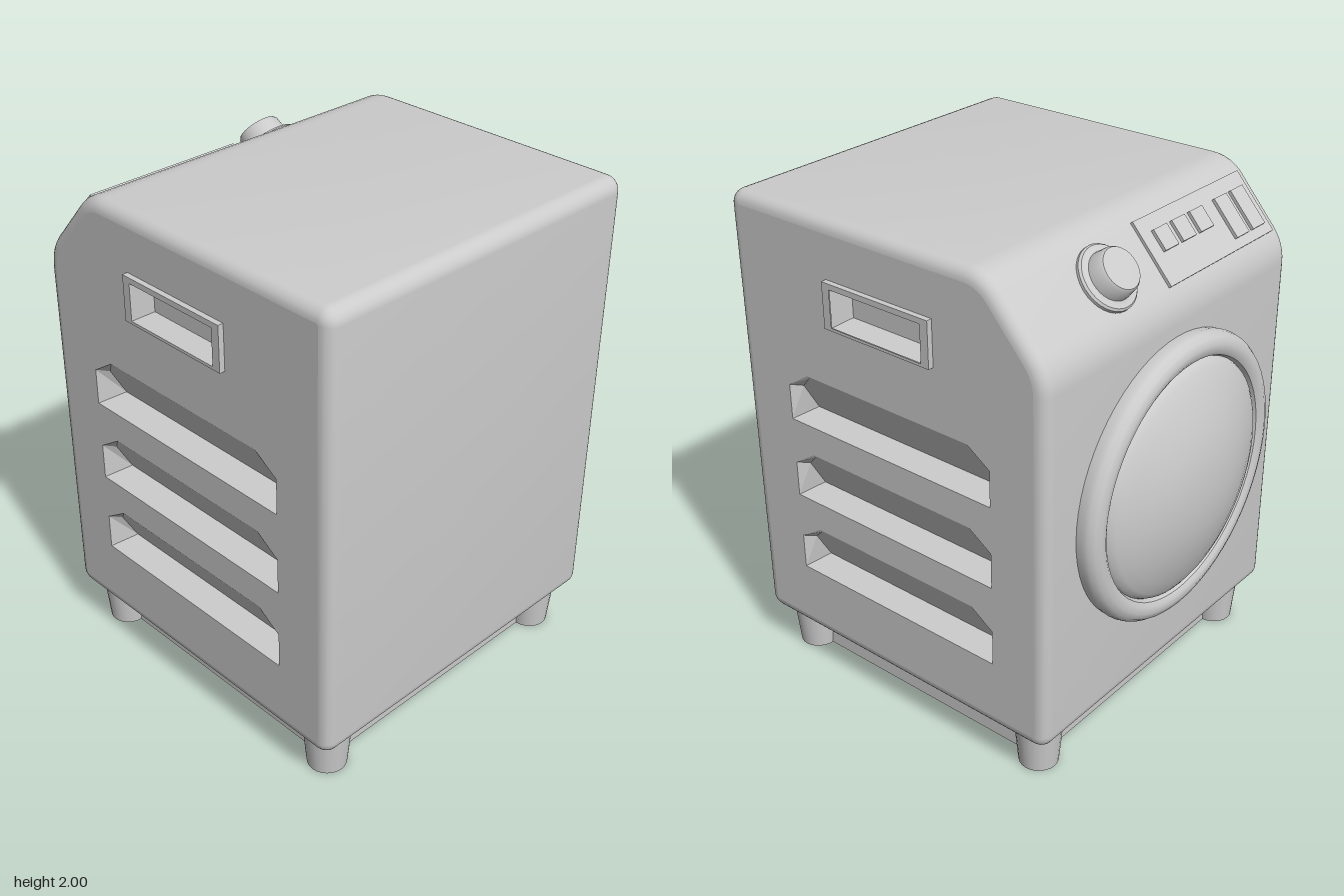
import * as THREE from 'three';
import { toCreasedNormals } from 'three/addons/utils/BufferGeometryUtils.js';

const mat = new THREE.MeshStandardMaterial({ color: 0xcccccc });
const thin = new THREE.MeshStandardMaterial({ color: 0xcccccc, side: THREE.DoubleSide });

function add(parent, name, geometry, material = mat, x = 0, y = 0, z = 0) {
  const mesh = new THREE.Mesh(geometry, material);
  mesh.name = name;
  mesh.position.set(x, y, z);
  parent.add(mesh);
  return mesh;
}

// Polygon with softened corners; corners are [x, y, cut]
function softPolygon(corners) {
  const shape = new THREE.Shape();
  const n = corners.length;
  corners.forEach(([x, y, cut], i) => {
    const p = new THREE.Vector2(x, y);
    const toward = ([ox, oy]) => new THREE.Vector2(ox, oy).sub(p).setLength(cut).add(p);
    const a = toward(corners[(i + n - 1) % n]);
    const b = toward(corners[(i + 1) % n]);
    if (i === 0) shape.moveTo(a.x, a.y);
    else shape.lineTo(a.x, a.y);
    shape.quadraticCurveTo(x, y, b.x, b.y);
  });
  shape.closePath();
  return shape;
}

const polygon = (pts, Type = THREE.Path) => new Type(pts.map(([x, y]) => new THREE.Vector2(x, y)));
const rect = (x0, y0, x1, y1) => [[x0, y0], [x1, y0], [x1, y1], [x0, y1]];

// Recess: walls from the rim to an inner loop, closed by a floor
function recess(rim, inner, rimZ, floorZ) {
  const pos = [];
  const n = rim.length;
  const R = rim.map(([x, y]) => [x, y, rimZ]);
  const I = inner.map(([x, y]) => [x, y, floorZ(y)]);
  for (let i = 0; i < n; i++) {
    const j = (i + 1) % n;
    pos.push(...R[i], ...R[j], ...I[j], ...R[i], ...I[j], ...I[i]);
    if (i > 0 && i < n - 1) pos.push(...I[0], ...I[i], ...I[i + 1]);
  }
  const g = new THREE.BufferGeometry();
  g.setAttribute('position', new THREE.Float32BufferAttribute(pos, 3));
  g.computeVertexNormals();
  return g;
}

// Side outline of the cabinet, inside its rounded edge; s = -1 mirrors it
const outline = (s) => softPolygon([
  [-0.59, 0.23, 0.01], [0.77, 0.23, 0.01], [0.77, 1.95, 0.01],
  [-0.36, 1.95, 0.06], [-0.59, 1.69, 0.06],
].map(([x, y, c]) => [s * x, y, c]));

// Side wall with three louvres and a recessed handle
function sideWall(s) {
  const group = new THREE.Group();
  group.name = s > 0 ? 'frontSideWall' : 'rearSideWall';
  const flip = (pts) => pts.map(([x, y]) => [s * x, y]);
  const wall = outline(s);
  const z = 0.73;

  for (const y0 of [1.145, 0.81, 0.475]) {
    const y1 = y0 + 0.212;
    const rim = flip([[-0.4, y0], [0.575, y0], [0.575, y0 + 0.145],
      [0.475, y1], [-0.3, y1], [-0.4, y0 + 0.145]]);
    const inner = flip([[-0.375, y0 + 0.012], [0.55, y0 + 0.012], [0.55, y0 + 0.13],
      [0.47, y1 - 0.01], [-0.295, y1 - 0.01], [-0.375, y0 + 0.13]]);
    wall.holes.push(polygon(rim));
    // The floor slopes inward from the top edge to a ledge at the bottom
    add(group, 'louvre', recess(rim, inner, z, (y) => z - 0.12 * (y1 - y) / (y1 - y0)), thin);
  }

  const mouth = flip(rect(-0.125, 1.612, 0.3, 1.758));
  wall.holes.push(polygon(mouth));
  const frame = polygon(flip(rect(-0.16, 1.6, 0.335, 1.78)), THREE.Shape);
  frame.holes.push(polygon(mouth));
  add(group, 'handleFrame', new THREE.ExtrudeGeometry(frame, { depth: 0.022, bevelEnabled: false }), mat, 0, 0, z);
  add(group, 'handleRecess',
    recess(mouth, flip(rect(-0.085, 1.638, 0.262, 1.735)), z + 0.02, () => z - 0.05), thin);

  add(group, 'sidePanel', new THREE.ShapeGeometry(wall, 6), mat, 0, 0, z);
  if (s < 0) group.rotation.y = Math.PI;
  return group;
}

// Cabinet wrap: rounded extrusion without its flat ends
function cabinetWrap() {
  const full = new THREE.ExtrudeGeometry(outline(1), {
    depth: 1.36, bevelThickness: 0.05, bevelSize: 0.05, bevelSegments: 6, curveSegments: 6,
  });
  const { start, count } = full.groups[1];
  const g = new THREE.BufferGeometry();
  g.setAttribute('position', new THREE.BufferAttribute(
    full.attributes.position.array.slice(start * 3, (start + count) * 3), 3));
  g.translate(0, 0, -0.68);
  return toCreasedNormals(g, 0.7);
}

const lathe = (pts, segments) =>
  toCreasedNormals(new THREE.LatheGeometry(pts.map(([r, h]) => new THREE.Vector2(r, h)), segments), 0.6);

export function createModel() {
  const model = new THREE.Group();
  model.name = 'washingMachine';

  add(model, 'cabinet', cabinetWrap());
  model.add(sideWall(1), sideWall(-1));

  // Round door with raised rim and domed glass
  const door = add(model, 'door', lathe([
    [0.56, -0.01], [0.565, 0.03], [0.56, 0.05], [0.545, 0.07], [0.52, 0.08], [0.495, 0.078],
    [0.478, 0.068], [0.47, 0.05], [0.462, 0.065], [0.44, 0.08], [0.39, 0.103], [0.32, 0.13],
    [0.24, 0.154], [0.16, 0.171], [0.08, 0.179], [0, 0.181],
  ], 64), mat, -0.64, 1.025, 0);
  door.rotation.z = Math.PI / 2;

  // Tapered feet joined by a thin plinth
  const [x0, x1, zf] = [-0.505, 0.685, 0.595];
  for (const x of [x0, x1]) {
    for (const z of [-zf, zf]) {
      add(model, 'foot', new THREE.CylinderGeometry(0.095, 0.077, 0.2, 24, 1, true), thin, x, 0.1, z);
    }
    const end = add(model, 'plinthEnd', new THREE.PlaneGeometry(2 * zf, 0.18), thin, x, 0.09, 0);
    end.rotation.y = Math.sign(x) * Math.PI / 2;
  }
  for (const s of [-1, 1]) {
    const side = add(model, 'plinthSide', new THREE.PlaneGeometry(x1 - x0, 0.18), thin, (x0 + x1) / 2, 0.09, s * zf);
    if (s < 0) side.rotation.y = Math.PI;
  }

  // Controls on the sloped face: local x runs up the slope, y points outward
  const controls = new THREE.Group();
  controls.name = 'controls';
  controls.position.set(-0.51, 1.855, 0);
  controls.rotation.z = Math.atan2(0.29, 0.26);
  model.add(controls);

  add(controls, 'dial', lathe([
    [0.125, -0.01], [0.125, 0.012], [0.118, 0.02], [0.1, 0.02], [0.092, 0.024],
    [0.085, 0.075], [0.078, 0.085], [0, 0.087],
  ], 32), mat, 0, 0, -0.25);

  add(controls, 'controlPanel', new THREE.BoxGeometry(0.26, 0.024, 0.665), mat, 0, 0, 0.333);
  for (const z of [0.1, 0.21, 0.32]) {
    add(controls, 'smallButton', new THREE.BoxGeometry(0.085, 0.03, 0.08), mat, 0.03, 0.01, z);
  }
  for (const z of [0.48, 0.588]) {
    add(controls, 'largeButton', new THREE.BoxGeometry(0.165, 0.03, 0.08), mat, -0.01, 0.01, z);
  }
  return model;
}
